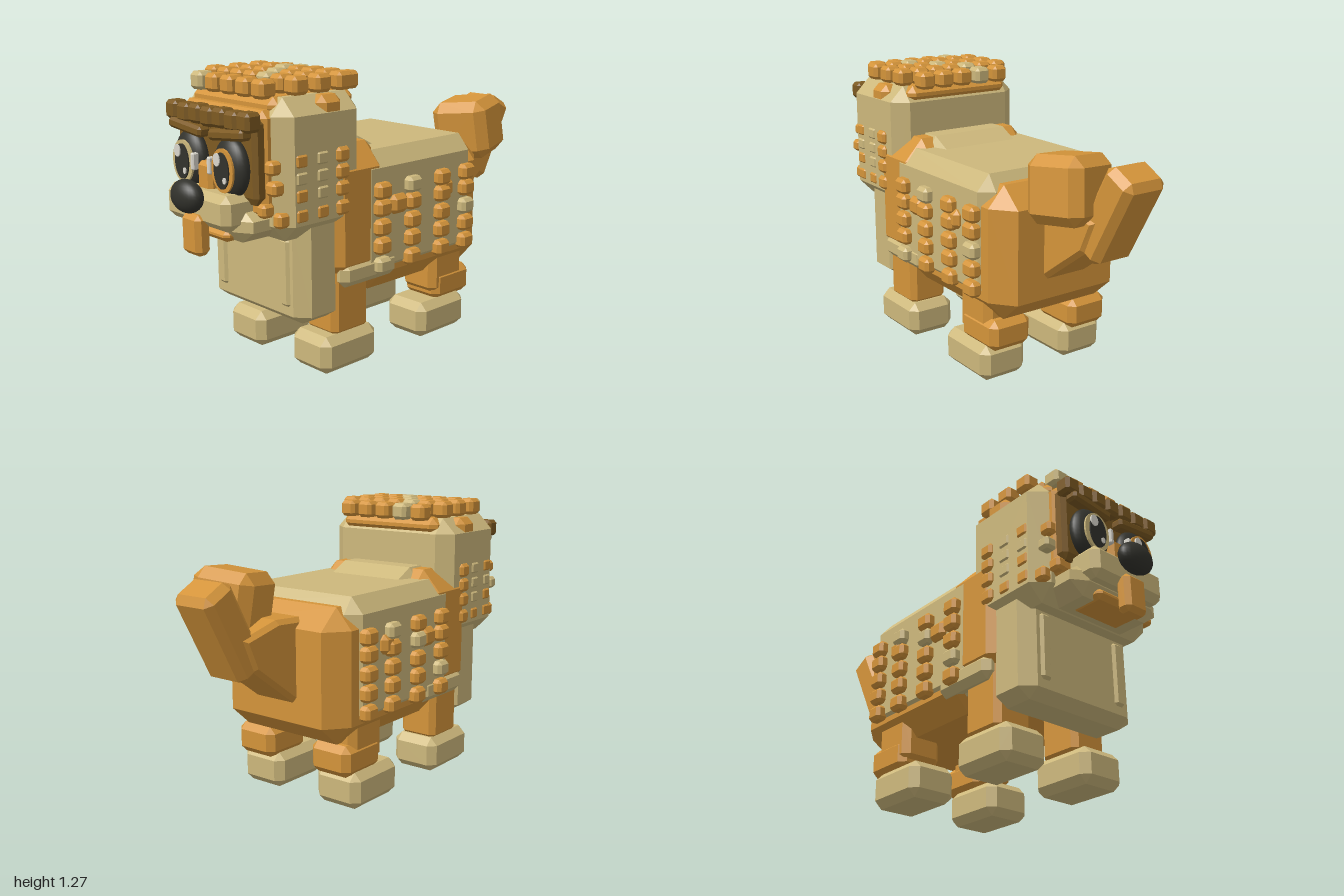
import * as THREE from 'three';
import { ConvexGeometry } from 'three/addons/geometries/ConvexGeometry.js';

const mat = (name, color, flatShading = true) => {
  const m = new THREE.MeshStandardMaterial({ color, flatShading });
  m.name = name;
  return m;
};

// Box with flat bevels; inset is how far each face edge is drawn in along x, y, z.
const cache = {};
function bevelBox(w, h, d, inset) {
  const key = [w, h, d, inset].join();
  if (cache[key]) return cache[key];
  const c = Array.isArray(inset) ? inset : [inset, inset, inset];
  const half = [w / 2, h / 2, d / 2], pts = [];
  for (const sx of [-1, 1]) for (const sy of [-1, 1]) for (const sz of [-1, 1])
    for (let axis = 0; axis < 3; axis++) {
      const e = half.map((v, i) => (i === axis ? v : v - c[i]));
      pts.push(new THREE.Vector3(sx * e[0], sy * e[1], sz * e[2]));
    }
  return (cache[key] = new ConvexGeometry(pts));
}

export function createModel() {
  const orange = mat('orange fur', 0xd4943a);
  const cream = mat('cream fur', 0xcdb87c);
  const brown = mat('dark brown fur', 0x7d5a22);
  const black = mat('black', 0x32322c, false);
  const white = mat('eye white', 0xdad7cd, false);

  const root = new THREE.Group();
  root.name = 'dog';
  const group = (name) => {
    const g = new THREE.Group();
    g.name = name;
    root.add(g);
    return g;
  };
  const add = (parent, name, geo, material, x, y, z) => {
    const m = new THREE.Mesh(geo, material);
    m.name = name;
    m.position.set(x, y, z);
    parent.add(m);
    return m;
  };
  // Bevelled box given by its extents
  const block = (parent, name, material, [x0, x1], [y0, y1], [z0, z1], inset) =>
    add(parent, name, bevelBox(x1 - x0, y1 - y0, z1 - z0, inset), material,
      (x0 + x1) / 2, (y0 + y1) / 2, (z0 + z1) / 2);

  // Body
  const body = group('body');
  block(body, 'rump', orange, [-0.335, 0.335], [0.3, 0.89], [-0.52, 0.3], [0.08, 0.09, 0.1]);
  block(body, 'saddle', cream, [-0.347, 0.347], [0.36, 0.93], [-0.41, 0.32], [0.06, 0.07, 0.05]);
  block(body, 'shoulders', orange, [-0.345, 0.345], [0.37, 0.97], [0.12, 0.52], [0.09, 0.1, 0.1]);
  block(body, 'neckRidge', cream, [-0.22, 0.22], [0.88, 0.977], [0.112, 0.4], [0.03, 0.05, 0.09]);
  block(body, 'bib', cream, [-0.315, 0.315], [0.24, 0.72], [0.4, 0.63], [0.06, 0.04, 0.05]);
  for (const s of [-1, 1]) {
    block(body, 'saddleHem', cream, s < 0 ? [-0.352, -0.25] : [0.25, 0.352], [0.37, 0.48], [0.1, 0.43], 0.03);
    for (let i = 0; i < 5; i++)
      add(body, 'bibCurl', bevelBox(0.055, 0.08, 0.03, 0.012), cream, s * 0.21, 0.57 - i * 0.053 * 1.0, 0.627);
  }

  // Curls along the flanks
  const flankCurls = group('flankCurls');
  const rowY = [0.765, 0.69, 0.605, 0.523, 0.437];
  const colZ = [0.215, 0.027, -0.166, -0.333];
  const creamFlank = { '-1': ['0,3', '1,1', '2,0'], 1: ['1,0', '3,2', '0,4'] };
  for (const s of [-1, 1]) {
    colZ.forEach((z, c) => rowY.forEach((y, r) => {
      const m = creamFlank[s].includes(`${c},${r}`) ? cream : orange;
      add(flankCurls, 'flankCurl', bevelBox(0.06, 0.07, 0.083, 0.015), m, s * 0.357, y, z);
    }));
    add(flankCurls, 'flankPatch', bevelBox(0.05, 0.085, 0.1, 0.02), orange, s * 0.35, 0.69, 0.11);
    add(flankCurls, 'flankPatch', bevelBox(0.05, 0.085, 0.08, 0.02), orange, s * 0.35, 0.71, -0.2);
  }

  // Legs and paws
  const legs = group('legs');
  for (const s of [-1, 1]) {
    add(legs, 'frontLeg', bevelBox(0.19, 0.34, 0.21, 0.025), orange, s * 0.215, 0.32, 0.345);
    add(legs, 'frontPaw', bevelBox(0.235, 0.165, 0.32, 0.035), cream, s * 0.217, 0.0825, 0.365);
    add(legs, 'hindLeg', bevelBox(0.2, 0.28, 0.22, 0.03), orange, s * 0.215, 0.33, -0.275);
    add(legs, 'hock', bevelBox(0.21, 0.14, 0.25, 0.03), orange, s * 0.215, 0.225, -0.31);
    add(legs, 'hindPaw', bevelBox(0.235, 0.165, 0.32, 0.035), cream, s * 0.217, 0.0825, -0.23);
  }

  // Tail: wedge root, raised tip and a turned tuft
  const tail = group('tail');
  const wedge = new THREE.Shape([[0.45, 0.48], [0.52, 0.48], [0.76, 0.66], [0.82, 0.8], [0.62, 0.85], [0.45, 0.84]]
    .map((p) => new THREE.Vector2(...p)));
  const wedgeGeo = new THREE.ExtrudeGeometry(wedge, {
    depth: 0.2, bevelSize: 0.02, bevelThickness: 0.02, bevelSegments: 1, bevelOffset: -0.02,
  });
  wedgeGeo.translate(0, 0, -0.1).rotateY(Math.PI / 2);
  add(tail, 'tailRoot', wedgeGeo, orange, 0, 0, 0);
  add(tail, 'tailTip', bevelBox(0.21, 0.42, 0.16, 0.03), orange, 0, 0.825, -0.832).rotation.x = -0.49;
  add(tail, 'tailTuft', bevelBox(0.28, 0.28, 0.27, 0.045), orange, 0.105, 0.905, -0.655).rotation.set(0.1, 0.27, 0.08);

  // Head
  const head = group('head');
  block(head, 'skull', cream, [-0.34, 0.34], [0.62, 1.195], [0.29, 0.74], [0.07, 0.07, 0.06]);
  block(head, 'crown', orange, [-0.27, 0.27], [1.12, 1.197], [0.283, 0.73], [0.03, 0.03, 0.03]);
  block(head, 'facePanel', orange, [-0.27, 0.27], [0.72, 1.15], [0.6, 0.785], [0.03, 0.03, 0.03]);
  block(head, 'mask', brown, [-0.26, 0.26], [0.78, 1.13], [0.7, 0.81], [0.02, 0.03, 0.015]);
  block(head, 'jaw', cream, [-0.25, 0.25], [0.625, 0.77], [0.55, 0.86], [0.07, 0.05, 0.04]);
  block(head, 'lip', orange, [-0.135, 0.135], [0.62, 0.67], [0.7, 0.868], 0.02);
  block(head, 'muzzle', cream, [-0.205, 0.205], [0.68, 0.825], [0.7, 0.92], 0.03);
  block(head, 'noseBridge', orange, [-0.045, 0.045], [0.8, 0.93], [0.75, 0.87], 0.015);
  block(head, 'tongue', orange, [-0.06, 0.06], [0.56, 0.73], [0.88, 0.95], 0.02);
  const nose = add(head, 'nose', new THREE.SphereGeometry(1, 24, 16), black, 0, 0.805, 0.95);
  nose.scale.set(0.09, 0.068, 0.05);

  // Eyes: stacked oval discs
  const disc = new THREE.CylinderGeometry(1, 1, 1, 28).rotateX(Math.PI / 2);
  const oval = (name, m, x, y, z, rx, ry, depth) =>
    add(head, name, disc, m, x, y, z).scale.set(rx, ry, depth);
  for (const s of [-1, 1]) {
    const x = s * 0.133;
    const eye = add(head, 'eyeball', new THREE.SphereGeometry(1, 28, 18), black, x, 0.922, 0.825);
    eye.scale.set(0.1, 0.12, 0.05);
    oval('iris', s < 0 ? cream : orange, x, 0.915, 0.87, 0.069, 0.088, 0.009);
    oval('pupil', black, x, 0.915, 0.876, 0.047, 0.073, 0.008);
    oval('glint', white, x - 0.023, 0.957, 0.881, 0.02, 0.026, 0.008);
    oval('smallGlint', white, x + 0.024, 0.88, 0.881, 0.01, 0.013, 0.008);
    add(head, 'eyeCorner', bevelBox(0.022, 0.07, 0.03, 0.005), white, s * 0.055, 0.925, 0.87);
    add(head, 'brow', bevelBox(0.22, 0.045, 0.06, 0.012), brown, s * 0.135, 1.053, 0.835).rotation.z = s * 0.1;

    // Ear stubs, cheek curls and the curls on the sides of the head
    block(head, 'earStub', orange, s < 0 ? [-0.338, -0.24] : [0.24, 0.338], [1.09, 1.193], [0.41, 0.54], 0.03);
    add(head, 'cheekCurl', bevelBox(0.06, 0.055, 0.06, 0.012), s < 0 ? cream : orange, s * 0.295, 0.85, 0.745);
    add(head, 'cheekCurl', bevelBox(0.05, 0.055, 0.06, 0.012), orange, s * 0.26, 0.76, 0.765);
    add(head, 'cheekCurl', bevelBox(0.05, 0.06, 0.06, 0.012), orange, s * 0.3, 0.72, 0.72);
    add(head, 'cheekCurl', bevelBox(0.05, 0.055, 0.06, 0.012), orange, s * 0.285, 0.93, 0.745);
    [0.645, 0.535, 0.43].forEach((z, c) => [0.95, 0.88, 0.81, 0.73].forEach((y, r) => {
      const m = (c === 1 && r !== 3) || (c === 0 && r === 1) ? cream : orange;
      add(head, 'sideCurl', bevelBox(0.05, 0.062, 0.07, 0.013), m, s * (c === 2 ? 0.333 : 0.322), y, z);
    }));
  }

  // Fringe over the brows
  for (let i = -3; i <= 3; i++)
    add(head, 'fringeCurl', bevelBox(0.078, 0.078, 0.075, 0.014), brown, i * 0.079, 1.108 + (i % 2 ? 0.004 : 0), 0.82);

  // Curls on top of the head: z, count, spacing, y, cream index
  const rows = [[0.27, 5, 0.1, 1.225, 1], [0.365, 7, 0.087, 1.235, 2], [0.48, 7, 0.087, 1.235, 3],
    [0.6, 7, 0.087, 1.235, 4], [0.715, 5, 0.1, 1.225, 0]];
  for (const [z, n, step, y, creamIndex] of rows)
    for (let i = 0; i < n; i++)
      add(head, 'topCurl', bevelBox(0.077, 0.075, 0.083, 0.015), i === creamIndex ? cream : orange,
        (i - (n - 1) / 2) * step, y, z);

  return root;
}
